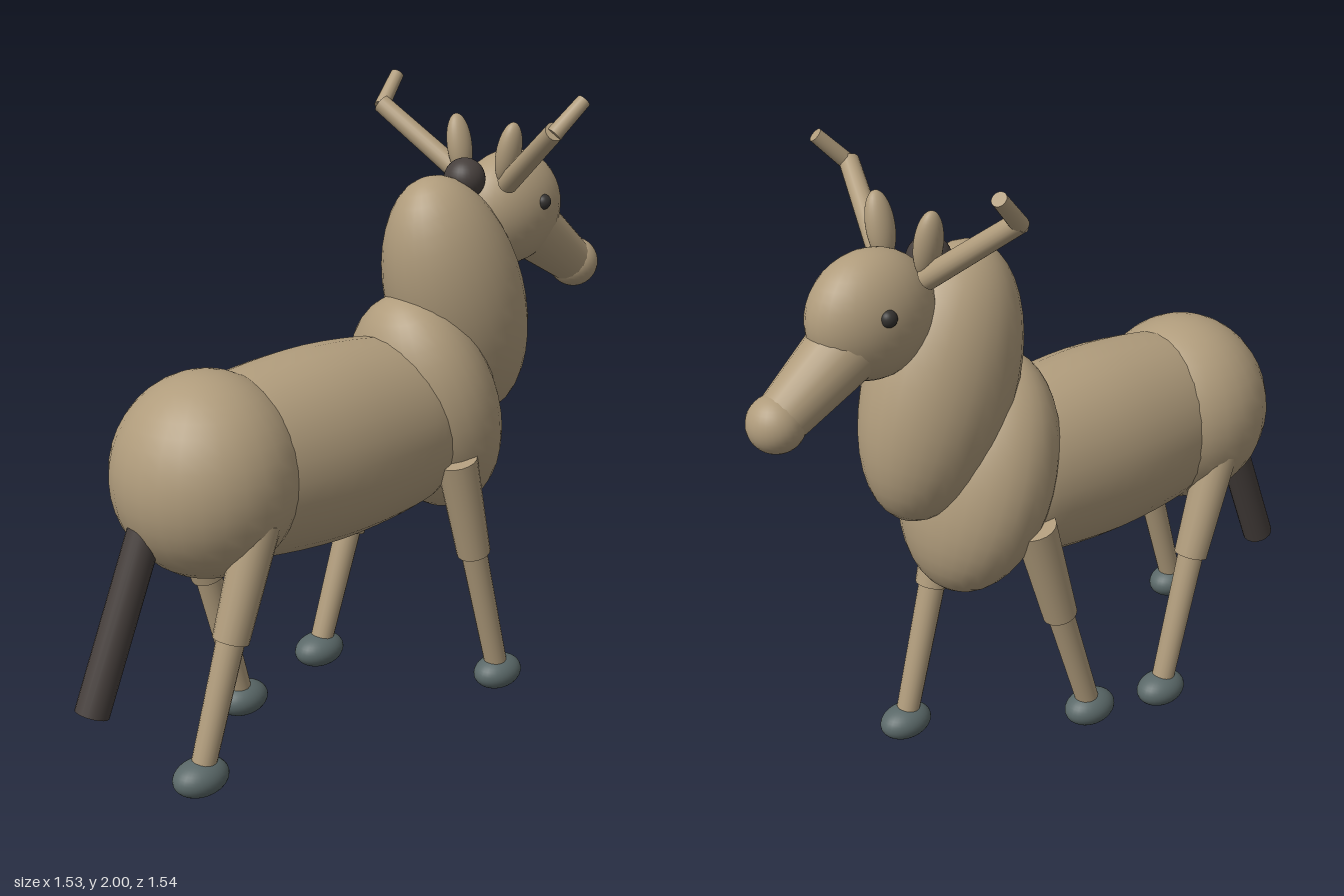
import * as THREE from 'three';

const mat = (name, color) => {
  const m = new THREE.MeshStandardMaterial({ color });
  m.name = name;
  return m;
};

export function createModel() {
  const fur = mat('fur', 0xb09c7c);
  const dark = mat('darkHair', 0x463f3c);
  const hoofMat = mat('hoof', 0x5a6868);
  const eyeMat = mat('eye', 0x33312f);

  // Built facing local +z, then turned diagonally at the end
  const animal = new THREE.Group();
  animal.name = 'deer';

  const add = (name, geometry, material) => {
    const mesh = new THREE.Mesh(geometry, material);
    mesh.name = name;
    animal.add(mesh);
    return mesh;
  };

  // Ellipsoid with centre, half sizes and tilt
  const ball = (name, material, pos, size, tiltX = 0, tiltZ = 0) => {
    const mesh = add(name, new THREE.SphereGeometry(1, 28, 20), material);
    mesh.position.set(...pos);
    mesh.scale.set(...size);
    mesh.rotation.set(tiltX, 0, tiltZ);
    return mesh;
  };

  // Tapered rod between two points
  const rod = (name, material, from, to, r0, r1) => {
    const a = new THREE.Vector3(...from);
    const b = new THREE.Vector3(...to);
    const mesh = add(name, new THREE.CylinderGeometry(r1, r0, a.distanceTo(b), 18), material);
    mesh.position.copy(a).add(b).multiplyScalar(0.5);
    mesh.quaternion.setFromUnitVectors(new THREE.Vector3(0, 1, 0), b.sub(a).normalize());
    return mesh;
  };

  // Trunk: a gently swelling barrel lying along z
  const profile = new THREE.SplineCurve(
    [[0, -0.55], [0.16, -0.51], [0.25, -0.41], [0.29, -0.28], [0.312, 0],
      [0.29, 0.28], [0.25, 0.41], [0.16, 0.51], [0, 0.55]].map(([r, y]) => new THREE.Vector2(r, y))
  ).getPoints(32).map((p) => new THREE.Vector2(Math.max(p.x, 0), p.y));
  const barrel = new THREE.LatheGeometry(profile, 28).rotateX(Math.PI / 2).scale(0.84, 1, 1);
  add('trunk', barrel, fur).position.set(0, 0.96, -0.17);

  ball('rump', fur, [0, 0.965, -0.58], [0.287, 0.31, 0.287]);
  ball('chest', fur, [0, 1.0, 0.28], [0.265, 0.383, 0.215], -0.32);
  ball('neck', fur, [0, 1.325, 0.41], [0.205, 0.423, 0.235], -0.35);

  // Head
  ball('head', fur, [0, 1.59, 0.64], [0.135, 0.186, 0.2]);
  rod('snout', fur, [0, 1.54, 0.7], [0, 1.365, 0.95], 0.11, 0.076);
  ball('nose', fur, [0, 1.358, 0.963], [0.083, 0.083, 0.083]);
  ball('crownTuft', dark, [0, 1.705, 0.438], [0.066, 0.066, 0.066]);

  for (const s of [1, -1]) {
    ball('eye', eyeMat, [0.124 * s, 1.62, 0.67], [0.025, 0.025, 0.025]);
    ball('ear', fur, [0.11 * s, 1.79, 0.52], [0.036, 0.1, 0.044], 0, -0.2 * s);
    rod('antlerBeam', fur, [0.105 * s, 1.695, 0.525], [0.385 * s, 1.9, 0.428], 0.034, 0.03);
    rod('antlerTine', fur, [0.383 * s, 1.89, 0.426], [0.412 * s, 1.985, 0.52], 0.025, 0.022);
  }

  // Legs: side, hip z, knee z, hoof z and hoof height
  const legs = [
    ['frontLeftLeg', 1, 0.23, 0.13, 0, 0.13],
    ['frontRightLeg', -1, 0.23, 0.315, 0.442, 0.06],
    ['rearLeftLeg', 1, -0.55, -0.445, -0.325, 0.06],
    ['rearRightLeg', -1, -0.55, -0.66, -0.78, 0.13],
  ];
  for (const [name, s, hip, knee, hoof, y] of legs) {
    const x = 0.205 * s;
    rod(name + 'Upper', fur, [x, 0.87, hip], [x, 0.53, knee], 0.066, 0.055);
    rod(name + 'Lower', fur, [x, 0.56, knee + (hip - knee) * 0.08], [x, y, hoof], 0.043, 0.037);
    ball(name + 'Hoof', hoofMat, [x, y, hoof], [0.068, 0.056, 0.09]);
  }

  rod('tail', dark, [0, 0.85, -0.8], [0, 0.33, -1.01], 0.052, 0.052);

  animal.rotation.y = Math.PI * 0.75;
  const model = new THREE.Group();
  model.name = 'model';
  model.add(animal);
  return model;
}
